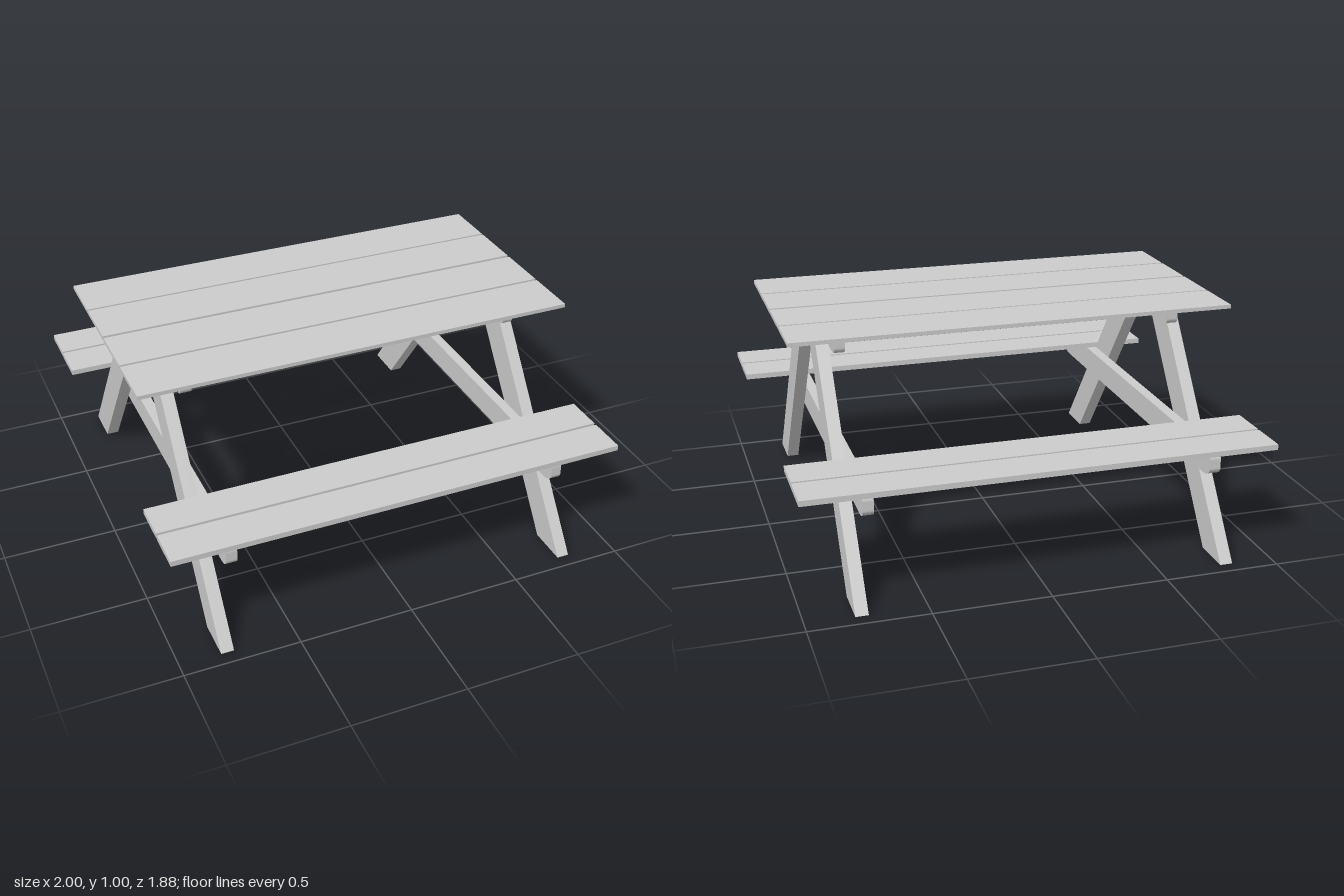
import * as THREE from 'three';

const material = new THREE.MeshStandardMaterial({ color: 0xcccccc, flatShading: true });

function addMesh(group, name, geometry) {
  const mesh = new THREE.Mesh(geometry, material);
  mesh.name = name;
  group.add(mesh);
  return mesh;
}

// Box given by its limits on each axis
function addPlank(group, name, [x0, x1], [y0, y1], [z0, z1]) {
  const plank = addMesh(group, name, new THREE.BoxGeometry(x1 - x0, y1 - y0, z1 - z0));
  plank.position.set((x0 + x1) / 2, (y0 + y1) / 2, (z0 + z1) / 2);
}

// Extrude a (z, y) outline along x from x0 to x1
function addProfile(group, name, shape, [x0, x1]) {
  const geometry = new THREE.ExtrudeGeometry(shape, { depth: x1 - x0, bevelEnabled: false, curveSegments: 6 });
  geometry.rotateY(-Math.PI / 2); // shape x -> +z, depth -> -x
  geometry.translate(x1, 0, 0);
  addMesh(group, name, geometry);
}

// Beam outline with elliptical corners, rz wide and ry high
function beamShape(z0, z1, y0, y1, rz, ry) {
  const shape = new THREE.Shape();
  const q = Math.PI / 2;
  shape.absellipse(z1 - rz, y0 + ry, rz, ry, -q, 0, false, 0);
  shape.absellipse(z1 - rz, y1 - ry, rz, ry, 0, q, false, 0);
  shape.absellipse(z0 + rz, y1 - ry, rz, ry, q, 2 * q, false, 0);
  shape.absellipse(z0 + rz, y0 + ry, rz, ry, 2 * q, 3 * q, false, 0);
  shape.closePath();
  return shape;
}

// Slanted leg, cut level at the ground and under the tabletop
function legShape(side) {
  const points = [[0.941, 0], [0.203, 0.983], [0.026, 0.983], [0.767, 0]];
  return new THREE.Shape(points.map(([z, y]) => new THREE.Vector2(side * z, y)));
}

export function createModel() {
  const table = new THREE.Group();
  table.name = 'picnicTable';

  // Tabletop
  const top = new THREE.Group();
  top.name = 'tabletop';
  [[-0.494, -0.258], [-0.248, -0.012], [0.003, 0.239], [0.251, 0.49]].forEach((z, i) =>
    addPlank(top, `tabletopPlank${i + 1}`, [-0.968, 0.946], [0.983, 1], z));
  table.add(top);

  // Benches
  const benches = { backBench: [[-0.936, -0.763], [-0.751, -0.579]], frontBench: [[0.567, 0.737], [0.75, 0.924]] };
  for (const [name, planks] of Object.entries(benches)) {
    const bench = new THREE.Group();
    bench.name = name;
    planks.forEach((z, i) => addPlank(bench, `${name}Plank${i + 1}`, [-1, 0.997], [0.496, 0.52], z));
    table.add(bench);
  }

  // End frames: two legs with the cross beams on their +x or -x inner face
  const frames = [
    { name: 'right', legX: [-0.823, -0.768], beamX: [-0.768, -0.72] },
    { name: 'left', legX: [0.743, 0.797], beamX: [0.698, 0.743] },
  ];
  for (const { name, legX, beamX } of frames) {
    const frame = new THREE.Group();
    frame.name = `${name}Frame`;
    addProfile(frame, `${name}FrontLeg`, legShape(1), legX);
    addProfile(frame, `${name}BackLeg`, legShape(-1), legX);
    addProfile(frame, `${name}TopBeam`, beamShape(-0.39, 0.4, 0.9, 0.983, 0.03, 0.027), beamX);
    addProfile(frame, `${name}SeatBeam`, beamShape(-0.884, 0.889, 0.384, 0.496, 0.065, 0.037), beamX);
    table.add(frame);
  }

  return table;
}
